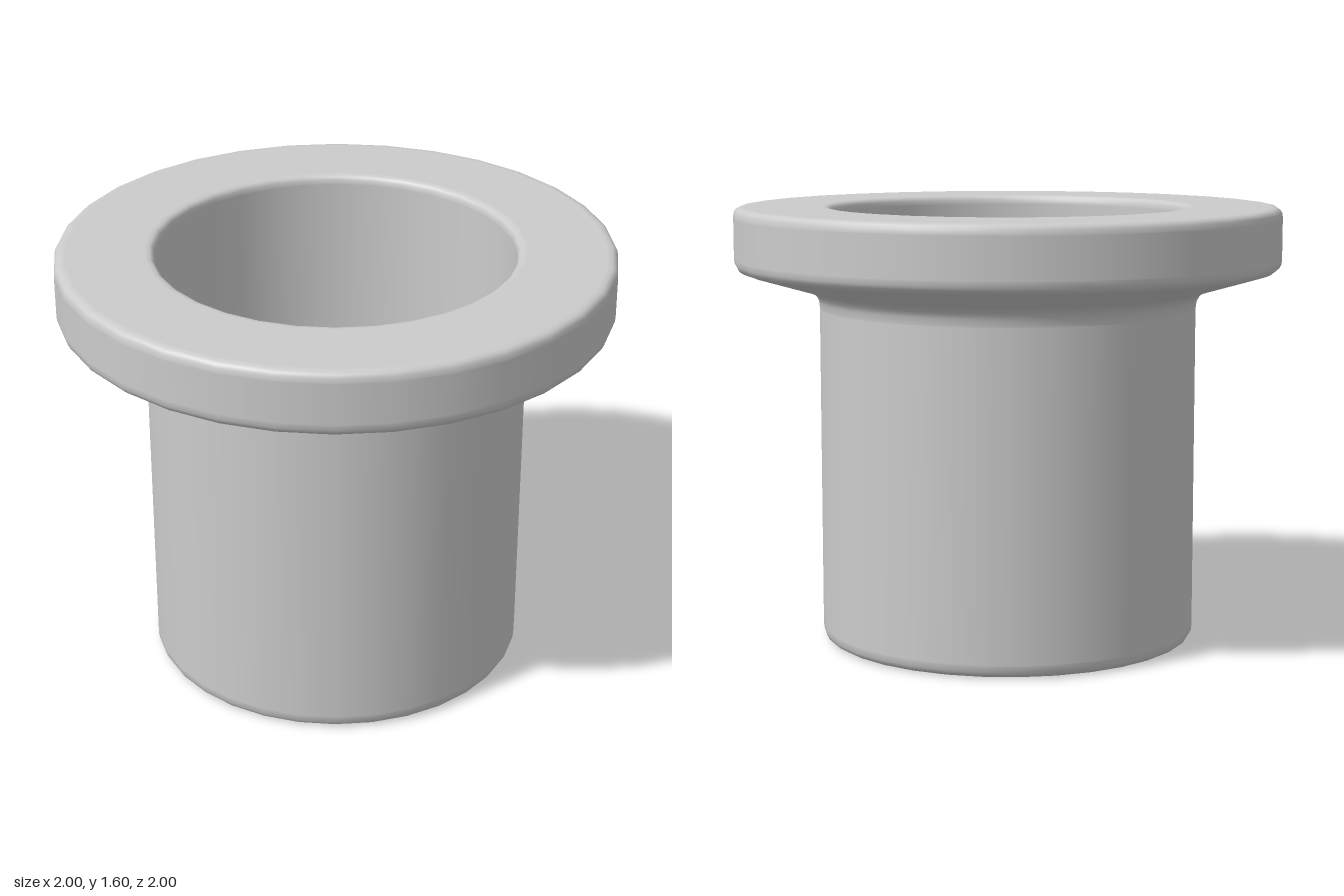
import * as THREE from 'three';

// Rounds each profile corner [x, y, radius]; tight support points keep the long faces flat-shaded.
function roundedProfile(corners, steps = 4, support = 0.004) {
  const points = [];
  corners.forEach(([x, y, r], i) => {
    const p = new THREE.Vector2(x, y);
    if (!r) {
      points.push(p);
      return;
    }
    const toward = (k) => new THREE.Vector2(corners[k][0], corners[k][1]).sub(p).normalize();
    const before = toward(i - 1);
    const after = toward(i + 1);
    const at = (dir, d) => p.clone().addScaledVector(dir, d);
    points.push(at(before, r + support));
    points.push(...new THREE.QuadraticBezierCurve(at(before, r), p, at(after, r)).getPoints(steps));
    points.push(at(after, r + support));
  });
  return points;
}

export function createModel() {
  const group = new THREE.Group();
  group.name = 'flangedCup';
  const material = new THREE.MeshStandardMaterial({ color: 0xcccccc });

  // Closed section: base, outer wall, sloped flange, rim, bore and inner floor
  const profile = roundedProfile([
    [0, 0, 0],
    [0.69, 0, 0.045],
    [0.69, 1.285, 0.055],
    [1, 1.375, 0.035],
    [1, 1.6, 0.035],
    [0.645, 1.6, 0.03],
    [0.645, 0.05, 0.02],
    [0, 0.05, 0],
  ]);
  const cup = new THREE.Mesh(new THREE.LatheGeometry(profile, 32), material);
  cup.name = 'cupWithFlange';
  group.add(cup);
  return group;
}
